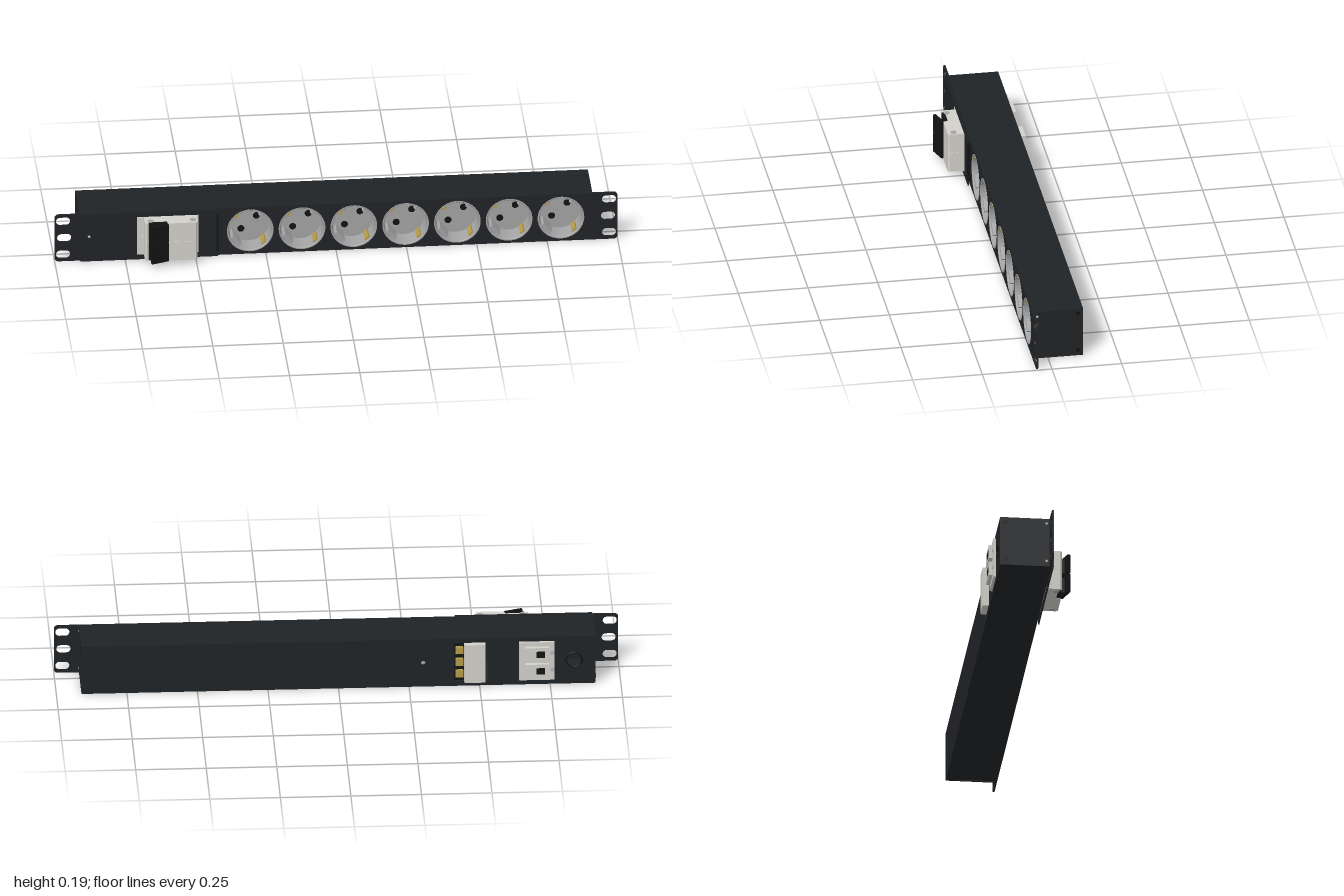
import * as THREE from 'three';
import { toCreasedNormals } from 'three/addons/utils/BufferGeometryUtils.js';

const mat = (color) => new THREE.MeshStandardMaterial({ color, side: THREE.DoubleSide });
const black = mat(0x202326), dark = mat(0x121314), pale = mat(0xd2d0ca);
const grey = mat(0xa3a3a3), steel = mat(0xb4b6b8), brass = mat(0xb59a4a);
const H = 0.185, MID = H / 2;

function add(parent, name, geo, material, x = 0, y = 0, z = 0) {
  const mesh = new THREE.Mesh(geo, material);
  mesh.name = name;
  mesh.position.set(x, y, z);
  parent.add(mesh);
  return mesh;
}

// Box given by its limits on each axis
function block(parent, name, material, x0, x1, y0, y1, z0, z1) {
  return add(parent, name, new THREE.BoxGeometry(x1 - x0, y1 - y0, z1 - z0), material,
    (x0 + x1) / 2, (y0 + y1) / 2, (z0 + z1) / 2);
}

function roundRect(target, x, y, w, h, r) {
  const a = x - w / 2, b = x + w / 2, c = y - h / 2, d = y + h / 2;
  target.moveTo(a + r, c);
  target.lineTo(b - r, c);
  target.absarc(b - r, c + r, r, -Math.PI / 2, 0);
  target.lineTo(b, d - r);
  target.absarc(b - r, d - r, r, 0, Math.PI / 2);
  target.lineTo(a + r, d);
  target.absarc(a + r, d - r, r, Math.PI / 2, Math.PI);
  target.lineTo(a, c + r);
  target.absarc(a + r, c + r, r, Math.PI, Math.PI * 1.5);
  return target;
}
const slot = (x, y, w, h, r) => roundRect(new THREE.Path(), x, y, w, h, r);
const circle = (x, y, r) => new THREE.Path().absarc(x, y, r, 0, Math.PI * 2);

function plate(shape, holes, depth) {
  shape.holes = holes;
  return new THREE.ExtrudeGeometry(shape, { depth, bevelEnabled: false, curveSegments: 16 });
}

// Cylinder along z
function disc(parent, name, material, r, len, x, y, z, seg = 20) {
  return add(parent, name, new THREE.CylinderGeometry(r, r, len, seg).rotateX(Math.PI / 2), material, x, y, z);
}

const bowlGeo = toCreasedNormals(new THREE.LatheGeometry(
  [[0, -0.066], [0.074, -0.066], [0.077, -0.001], [0.079, 0.001], [0.083, 0.001], [0.083, -0.006]]
    .map(([x, y]) => new THREE.Vector2(x, y)), 40).rotateX(Math.PI / 2), 0.5);

// Round recessed outlet, turned so its pin holes lie on a diagonal
function makeSocket(x) {
  const g = new THREE.Group();
  g.name = 'socket';
  add(g, 'socketBowl', bowlGeo, grey);
  for (const s of [-1, 1]) {
    disc(g, 'pinHole', dark, 0.0125, 0.002, s * 0.037, 0, -0.0655);
    block(g, 'guideRib', grey, s * 0.067 - 0.007, s * 0.067 + 0.007, -0.022, 0.022, -0.066, -0.006);
    block(g, 'earthClip', brass, -0.009, 0.009, s * 0.071 - 0.003, s * 0.071 + 0.003, -0.06, -0.004);
  }
  g.position.set(x, MID, 0.055);
  g.rotation.z = 0.73;
  return g;
}

export function createModel() {
  const model = new THREE.Group();
  const socketX = Array.from({ length: 7 }, (_, i) => -0.305 + i * 0.184);

  // Front panel with slotted mounting ears
  const holes = socketX.map((x) => circle(x, MID, 0.082));
  for (const s of [-1, 1]) {
    for (const y of [0.158, MID, 0.027])
      holes.push(slot(s * (y === MID ? 0.966 : 0.97), y, 0.05, 0.031, 0.0145));
  }
  add(model, 'frontPanel', plate(roundRect(new THREE.Shape(), 0, MID, 2, H, 0.014), holes, 0.006),
    black, 0, 0, 0.049);

  // Hollow housing: stepped top and bottom, end caps, back
  for (const top of [0, 1]) {
    const outer = (z0, z1, inset) => {
      const a = top ? H - 0.008 : inset, b = top ? H - inset : 0.008;
      block(model, top ? 'housingTop' : 'housingBottom', black, -0.91, 0.91, a, b, z0, z1);
    };
    outer(-0.127, -0.083, 0);
    outer(-0.083, 0.05, 0.002);
  }
  for (const s of [-1, 1]) {
    block(model, 'endCap', black, s * 0.907 - 0.004, s * 0.907 + 0.004, 0, H, -0.127, 0.05);
    for (const y of [0.021, 0.167]) {
      for (const [z, m, r] of [[0.038, steel, 0.0045], [-0.108, dark, 0.008]]) {
        const screw = disc(model, 'endScrew', m, r, 0.002, s * 0.9115, y, z);
        screw.rotation.y = Math.PI / 2;
      }
    }
  }
  add(model, 'backPanel', plate(roundRect(new THREE.Shape(), 0, MID, 1.82, H, 0.002), [
    slot(-0.47, MID, 0.12, 0.15, 0.003), slot(-0.705, MID, 0.13, 0.15, 0.003),
    circle(-0.835, MID, 0.028), circle(-0.3, MID, 0.008)], 0.006), black, 0, 0, -0.127);
  add(model, 'cableBushing', new THREE.TorusGeometry(0.028, 0.003, 8, 28), dark, -0.835, MID, -0.127);

  for (const x of socketX) model.add(makeSocket(x));

  // Raised cover plate around the breaker
  add(model, 'breakerCover', plate(roundRect(new THREE.Shape(), -0.665, MID, 0.49, H, 0.003),
    [slot(-0.598, MID, 0.222, 0.15, 0.003), circle(-0.878, 0.097, 0.006)], 0.004), black, 0, 0, 0.06);
  disc(model, 'indicator', pale, 0.005, 0.006, -0.878, 0.097, 0.058, 12);
  block(model, 'coverSeam', dark, -0.425, -0.418, 0.02, 0.168, 0.055, 0.066);

  // Two-pole breaker
  const breaker = new THREE.Group();
  breaker.name = 'breaker';
  model.add(breaker);
  const profile = new THREE.Shape([[-0.708, 0.055], [-0.49, 0.055], [-0.49, 0.066], [-0.497, 0.066],
    [-0.497, 0.115], [-0.503, 0.122], [-0.598, 0.122], [-0.604, 0.105], [-0.67, 0.105], [-0.676, 0.118],
    [-0.684, 0.112], [-0.684, 0.066], [-0.708, 0.066]].map(([x, z]) => new THREE.Vector2(x, -z)));
  for (const y0 of [0.02, 0.0945]) {
    // Profile lies in x/z and runs up y
    const geo = new THREE.ExtrudeGeometry(profile, { depth: 0.0735, bevelEnabled: false });
    add(breaker, 'breakerPole', geo.rotateX(-Math.PI / 2), pale, 0, y0, 0);
    block(breaker, 'toggleWell', dark, -0.669, -0.605, y0 + 0.001, y0 + 0.0725, 0.104, 0.117);
    const arm = block(breaker, 'toggle', dark, -0.665, -0.6, y0 + 0.001, y0 + 0.0715, 0.128, 0.139);
    arm.rotation.y = 0.33;
    block(breaker, 'toggleRoot', dark, -0.64, -0.612, y0 + 0.008, y0 + 0.064, 0.112, 0.134);
  }
  for (const x of [-0.663, -0.513]) {
    for (const y of [0.0195, 0.1685])
      add(breaker, 'rivet', new THREE.CylinderGeometry(0.011, 0.011, 0.002, 18), grey, x, y, 0.099);
  }

  // Rear terminal with brass contacts
  block(model, 'rearTerminal', pale, -0.52, -0.445, 0.02, 0.168, -0.148, -0.09);
  block(model, 'terminalRecess', dark, -0.445, -0.41, 0.018, 0.167, -0.117, -0.11);
  for (let i = 0; i < 3; i++)
    block(model, 'terminalContact', brass, -0.442, -0.415, 0.033 + i * 0.046, 0.06 + i * 0.046, -0.129, -0.115);

  // Rear connector with stepped flange and latches
  block(model, 'connectorBase', pale, -0.765, -0.64, 0.02, 0.168, -0.136, -0.09);
  for (const y0 of [0.035, 0.1]) {
    block(model, 'connectorBody', pale, -0.745, -0.66, y0, y0 + 0.052, -0.15, -0.13);
    block(model, 'connectorSlot', dark, -0.73, -0.7, y0 + 0.014, y0 + 0.038, -0.1508, -0.148);
    disc(model, 'connectorScrew', steel, 0.008, 0.003, -0.757, y0 + 0.026, -0.1365, 12);
  }
  return model;
}
